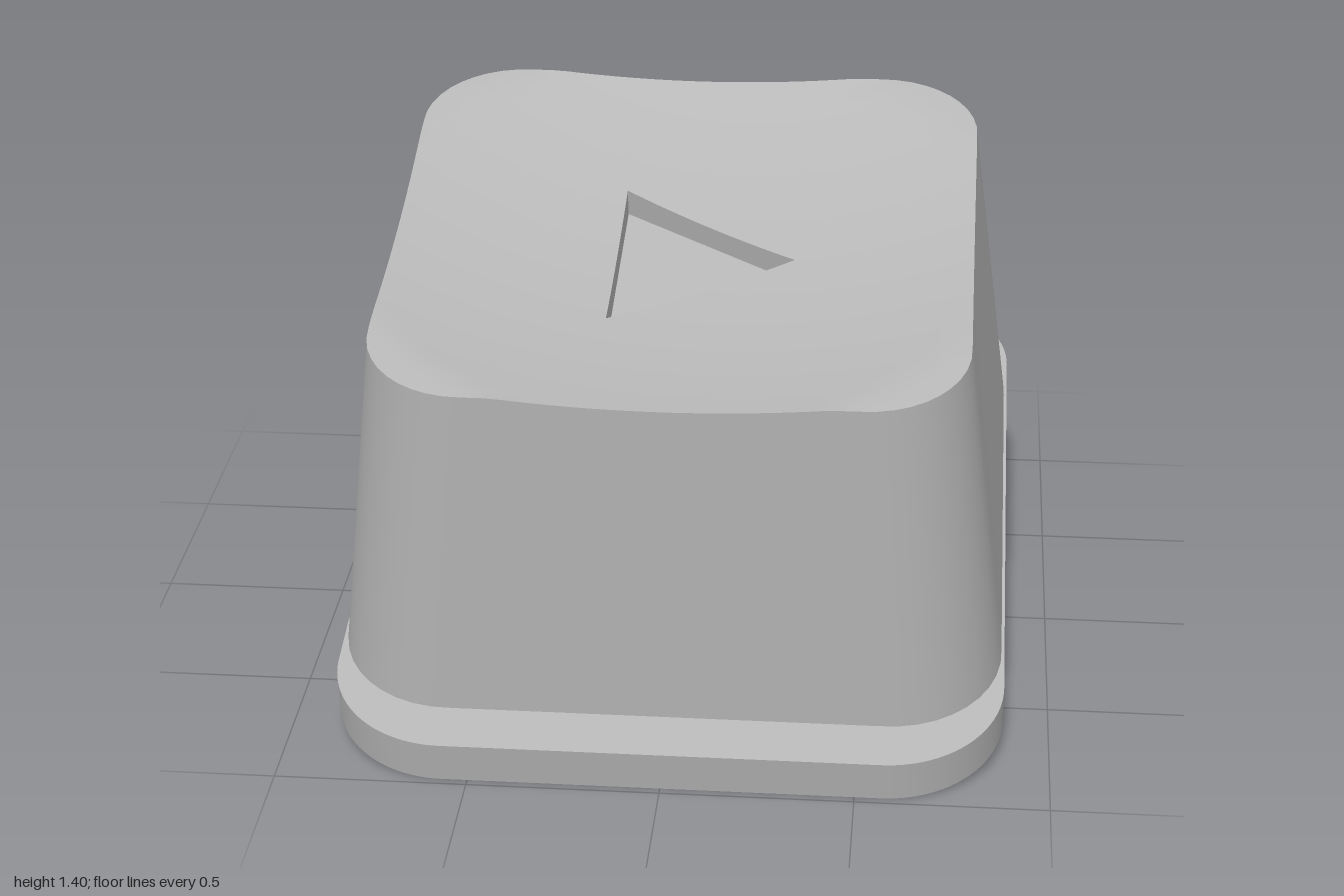
import * as THREE from 'three';
import { toCreasedNormals } from 'three/addons/utils/BufferGeometryUtils.js';

const PLATE = 0.117; // flange thickness
const TOP = 1.053;   // cap height before dishing
const HALF = 0.76, CORNER = 0.26; // top outline
const FLOOR = 0.89;  // floor of the triangular recess

// Skin a stack of closed loops; sharp edges stay sharp
function loft(rows) {
  const n = rows[0].length, index = [];
  for (let r = 0; r < rows.length - 1; r++) {
    for (let i = 0; i < n; i++) {
      const a = r * n + i, b = r * n + (i + 1) % n;
      index.push(a, a + n, b, b, a + n, b + n);
    }
  }
  const geo = new THREE.BufferGeometry();
  geo.setAttribute('position', new THREE.Float32BufferAttribute(rows.flat(2), 3));
  geo.setIndex(index);
  return toCreasedNormals(geo, 0.5);
}

function roundedRect(hx, hy, r, Type = THREE.Shape) {
  const s = new Type();
  s.absarc(hx - r, hy - r, r, 0, Math.PI / 2);
  s.absarc(-hx + r, hy - r, r, Math.PI / 2, Math.PI);
  s.absarc(-hx + r, -hy + r, r, Math.PI, Math.PI * 1.5);
  s.absarc(hx - r, -hy + r, r, Math.PI * 1.5, Math.PI * 2);
  s.closePath();
  return s;
}

// Distance from the centre to the rounded square along an angle
function squareRadius(angle) {
  const c = Math.abs(Math.cos(angle)), s = Math.abs(Math.sin(angle)), k = HALF - CORNER;
  let lo = 0, hi = 2;
  for (let i = 0; i < 40; i++) {
    const t = (lo + hi) / 2, x = t * c - k, z = t * s - k;
    const d = Math.hypot(Math.max(x, 0), Math.max(z, 0)) + Math.min(Math.max(x, z), 0) - CORNER;
    if (d < 0) lo = t; else hi = t;
  }
  return lo;
}

// Distance from the centre to the triangle along an angle
const tri = [[0.29, 0], [-0.18, 0.294], [-0.18, -0.294]];
function triangleRadius(angle) {
  const dx = Math.cos(angle), dz = Math.sin(angle);
  let best = Infinity;
  tri.forEach(([x, z], i) => {
    const [x2, z2] = tri[(i + 1) % 3];
    const nx = z2 - z, nz = x - x2, along = nx * dx + nz * dz;
    if (along > 1e-9) best = Math.min(best, (nx * x + nz * z) / along);
  });
  return best;
}

// Shallow spherical dish cut into the flat top
const dish = (r) => TOP - Math.max(0, 0.753 - r * r) / 7.34;

export function createModel() {
  const model = new THREE.Group();
  model.name = 'tiltedButton';
  const grey = new THREE.MeshStandardMaterial({ color: 0xb8b8b8 });
  grey.name = 'grey';

  const tilted = new THREE.Group();
  tilted.name = 'tiltedAssembly';
  tilted.position.set(0, 0.2125, -0.012);
  tilted.rotation.x = 0.2113;
  model.add(tilted);
  const add = (name, geo) => {
    const mesh = new THREE.Mesh(geo, grey);
    mesh.name = name;
    tilted.add(mesh);
  };

  // Flange with a rectangular opening underneath
  const plate = roundedRect(0.877, 1.0125, 0.31);
  plate.holes.push(roundedRect(0.51, 0.46, 0.05, THREE.Path));
  const plateGeo = new THREE.ExtrudeGeometry(plate, { depth: PLATE, bevelEnabled: false, curveSegments: 20 });
  plateGeo.rotateX(-Math.PI / 2);
  add('flange', toCreasedNormals(plateGeo, 0.5));

  // Angles shared by the outlines, including the triangle corners
  const angles = tri.slice(1).map(([x, z]) => Math.atan2(z, x));
  for (let i = 0; i < 144; i++) angles.push(-Math.PI + (i * Math.PI) / 72);
  angles.sort((a, b) => a - b);
  const outer = angles.map(squareRadius), inner = angles.map(triangleRadius);
  const ring = (radius, height) => angles.map((a, i) => {
    const r = radius(i);
    return [r * Math.cos(a), height(r), r * Math.sin(a)];
  });

  // Tapered sides
  add('body', loft([
    ring((i) => outer[i] * 0.869 / HALF, () => PLATE),
    ring((i) => outer[i], dish),
  ]));

  // Dished top running in to the triangular cut
  const topRows = [];
  for (let k = 0; k <= 14; k++) {
    topRows.push(ring((i) => THREE.MathUtils.lerp(outer[i], inner[i], k / 14), dish));
  }
  add('dishedTop', loft(topRows));

  // Triangular recess: walls and flat floor
  add('triangleRecess', loft([
    ring((i) => inner[i], dish),
    ring((i) => inner[i], () => FLOOR),
    ring(() => 0, () => FLOOR),
  ]));

  // Underside panel with a round socket
  const panel = roundedRect(0.53, 0.48, 0.05);
  const R = 0.307, DEEP = PLATE + 0.19;
  panel.holes.push(new THREE.Path().absarc(0, 0, R, 0, Math.PI * 2, true));
  const panelGeo = new THREE.ShapeGeometry(panel, 48);
  panelGeo.rotateX(Math.PI / 2);
  panelGeo.translate(0, PLATE - 0.001, 0);
  add('undersidePanel', panelGeo);
  add('roundSocket', loft([
    ring(() => 0, () => DEEP),
    ring(() => R, () => DEEP),
    ring(() => R, () => PLATE - 0.001),
  ]));

  return model;
}
